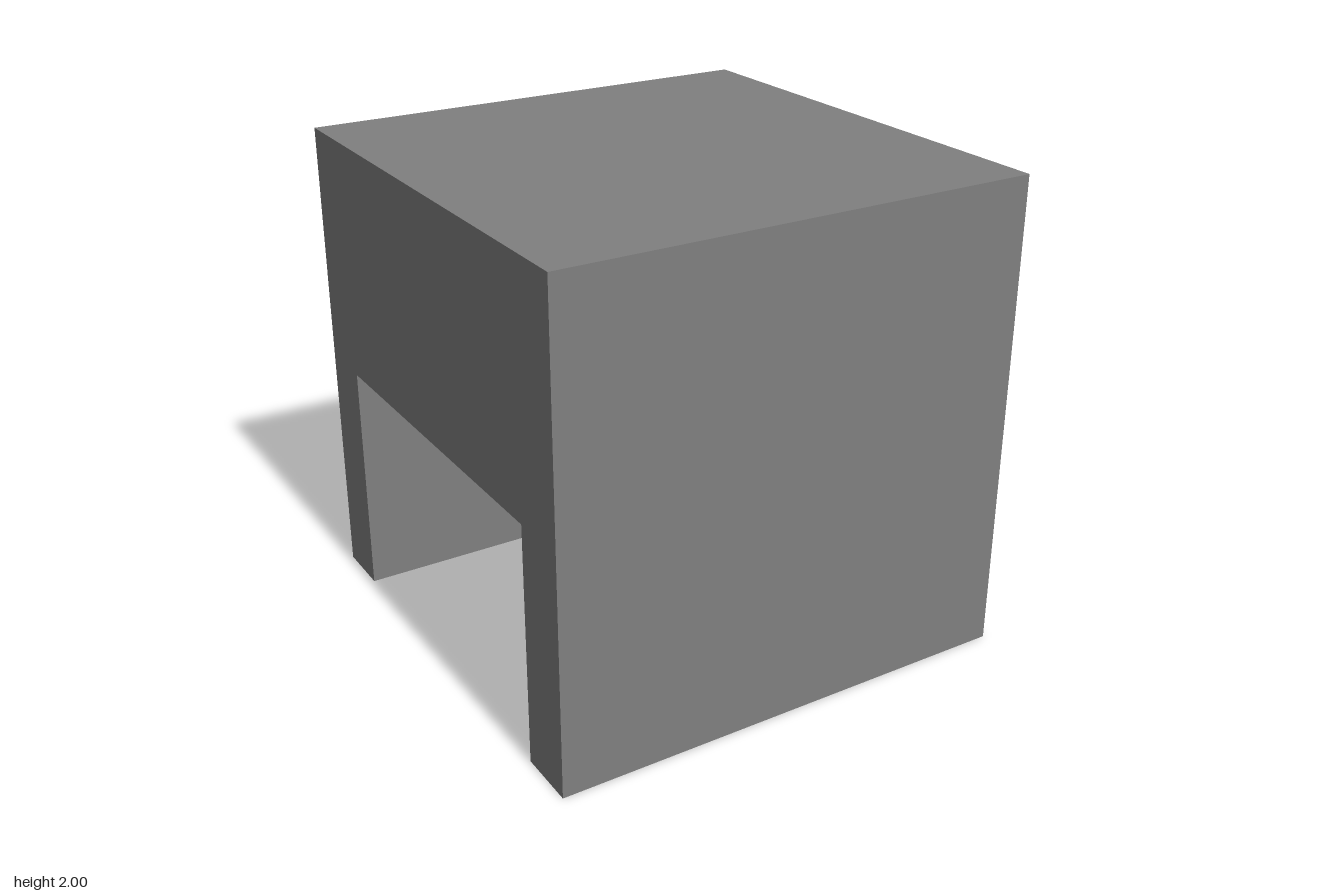
import * as THREE from 'three';

export function createModel() {
  const group = new THREE.Group();
  group.name = 'archBlock';

  const grey = new THREE.MeshStandardMaterial({ color: 0x808080 });
  grey.name = 'grey';

  // Side profile: thick top slab carried by two thin walls
  const half = 1, height = 2, inner = 0.75, opening = 1;
  const profile = new THREE.Shape([
    [-half, 0], [-inner, 0], [-inner, opening], [inner, opening],
    [inner, 0], [half, 0], [half, height], [-half, height],
  ].map(([z, y]) => new THREE.Vector2(z, y)));

  // Run the profile across the full width, along x
  const geometry = new THREE.ExtrudeGeometry(profile, { depth: 2 * half, bevelEnabled: false });
  geometry.translate(0, 0, -half);
  geometry.rotateY(Math.PI / 2);

  const block = new THREE.Mesh(geometry, grey);
  block.name = 'slabWithWalls';
  group.add(block);
  return group;
}
